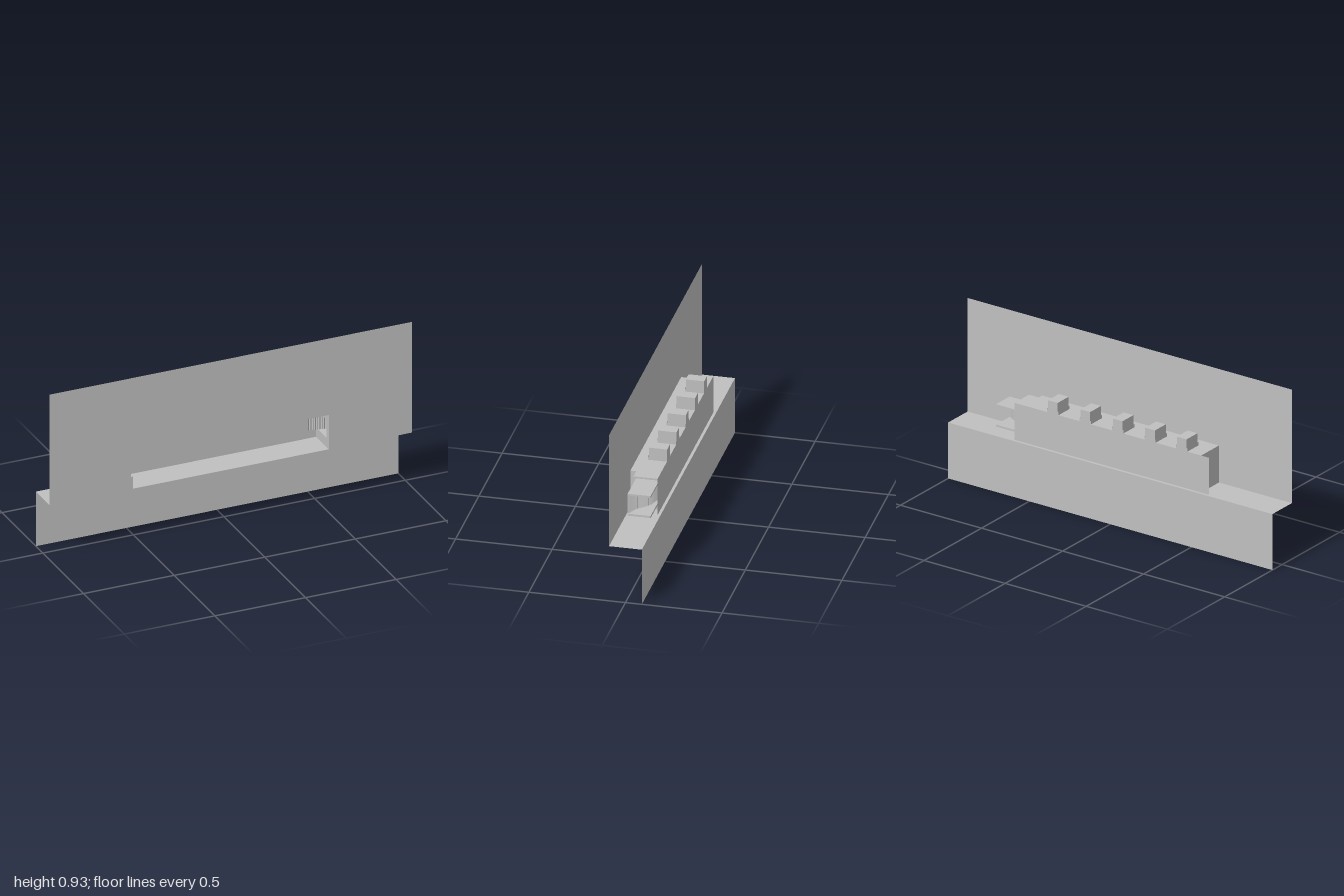
import * as THREE from 'three';

const W = 1, D = 0.085, LEDGE = 0.307, TOP = 0.93;   // half width, half depth, ledge and top heights
const N = { l: -0.55, r: 0.54, top: 0.51, back: -0.07 }; // niche limits
const LIGHTS = [-0.43, -0.235, -0.035, 0.165, 0.365];

export function createModel() {
  const model = new THREE.Group();
  const grey = new THREE.MeshStandardMaterial({ color: 0xc0c0c0, side: THREE.DoubleSide, flatShading: true });
  grey.name = 'plain grey';

  const add = (name, geometry, x = 0, y = 0, z = 0) => {
    const mesh = new THREE.Mesh(geometry, grey);
    mesh.name = name;
    mesh.position.set(x, y, z);
    model.add(mesh);
    return mesh;
  };
  // Solid block given by its limits
  const block = (name, x0, x1, y0, y1, z0, z1) =>
    add(name, new THREE.BoxGeometry(x1 - x0, y1 - y0, z1 - z0), (x0 + x1) / 2, (y0 + y1) / 2, (z0 + z1) / 2);
  const outline = (pts) => pts.map(([a, b]) => new THREE.Vector2(a, b));
  const rect = (a0, a1, b0, b1) => outline([[a0, b0], [a1, b0], [a1, b1], [a0, b1]]);
  const sheet = (pts, hole) => {
    const s = new THREE.Shape(pts);
    if (hole) s.holes.push(new THREE.Path(hole));
    return new THREE.ShapeGeometry(s);
  };

  // Upper wall notched by the niche, ledge and lower wall
  add('upperWall', sheet(outline([
    [-W, LEDGE], [N.l, LEDGE], [N.l, N.top], [N.r, N.top],
    [N.r, LEDGE], [W, LEDGE], [W, TOP], [-W, TOP]])), 0, 0, D);
  add('ledge', new THREE.PlaneGeometry(2 * W, 2 * D).rotateX(-Math.PI / 2), 0, LEDGE, 0);
  add('lowerWall', sheet(rect(-W, W, 0, LEDGE)), 0, 0, -D);
  for (const s of [-1, 1]) {
    block('ledgeTab', s * 0.77 - 0.035, s * 0.77 + 0.035, 0.303, LEDGE, 0.062, D);
  }

  // Niche back panel, foot rail and end walls
  add('nicheBack', sheet(rect(-0.6, 0.6, 0.287, N.top)), 0, 0, N.back);
  block('footRail', -0.6, 0.6, 0.287, 0.303, -D, -0.06);
  const endWall = (name, x, hole) => {
    const g = sheet(rect(-D, -N.back, LEDGE, N.top), hole);
    add(name, g.rotateY(Math.PI / 2), x);
  };
  endWall('nicheLeftEnd', N.l);
  endWall('nicheRightEnd', N.r, rect(-0.055, 0.062, 0.36, 0.46));
  block('endTrimLow', N.l, N.l + 0.01, LEDGE, 0.375, 0.06, D);
  block('endTrimHigh', N.l, N.l + 0.01, 0.45, N.top, 0.06, D);

  // Ceiling slab with a hole under each light box
  const ceiling = new THREE.Shape(rect(N.l, N.r, -D, -N.back));
  for (const x of LIGHTS) {
    ceiling.holes.push(new THREE.Path(rect(x - 0.03, x + 0.03, -0.024, 0.066)));
  }
  const slab = new THREE.ExtrudeGeometry(ceiling, { depth: 0.01, bevelEnabled: false });
  add('nicheCeiling', slab.rotateX(-Math.PI / 2), 0, N.top - 0.01, 0);
  add('ceilingEnd', sheet(rect(N.r, 0.6, -0.055, -N.back)).rotateX(-Math.PI / 2), 0, N.top, 0);

  // Light boxes, open below, each with a low collar
  for (const x of LIGHTS) {
    const open = (w, h, d) => {
      const g = new THREE.BoxGeometry(w, h, d);
      const index = Array.from(g.index.array);
      index.splice(18, 6);
      index.splice(12, h < 0.03 ? 6 : 0);
      g.setIndex(index);
      g.clearGroups();
      return g;
    };
    add('lightBox', open(0.06, 0.066, 0.095), x, 0.543, -0.0225);
    add('lightCollar', open(0.07, 0.018, 0.098), x, 0.519, -0.021);
  }

  // Side alcove: top and bottom plates with a pleated screen between them
  block('alcoveTop', N.r, 0.72, 0.46, 0.47, -0.063, 0.056);
  block('alcoveBottom', N.r, 0.72, 0.347, 0.358, -0.063, 0.056);
  const curve = new THREE.CatmullRomCurve3([
    [0.715, 0.055], [0.66, 0.025], [0.59, -0.035], [0.49, -0.058],
  ].map(([x, z]) => new THREE.Vector3(x, 0, z)));
  const steps = 44, pos = [], index = [];
  for (let i = 0; i <= steps; i++) {
    const p = curve.getPointAt(i / steps), t = curve.getTangentAt(i / steps);
    const o = i % 2 ? 0.003 : -0.003;
    for (const y of [0.358, 0.46]) pos.push(p.x - t.z * o, y, p.z + t.x * o);
    if (i < steps) index.push(2 * i, 2 * i + 2, 2 * i + 1, 2 * i + 1, 2 * i + 2, 2 * i + 3);
  }
  const screen = new THREE.BufferGeometry();
  screen.setAttribute('position', new THREE.Float32BufferAttribute(pos, 3));
  screen.setIndex(index);
  screen.computeVertexNormals();
  add('pleatedScreen', screen);

  return model;
}
